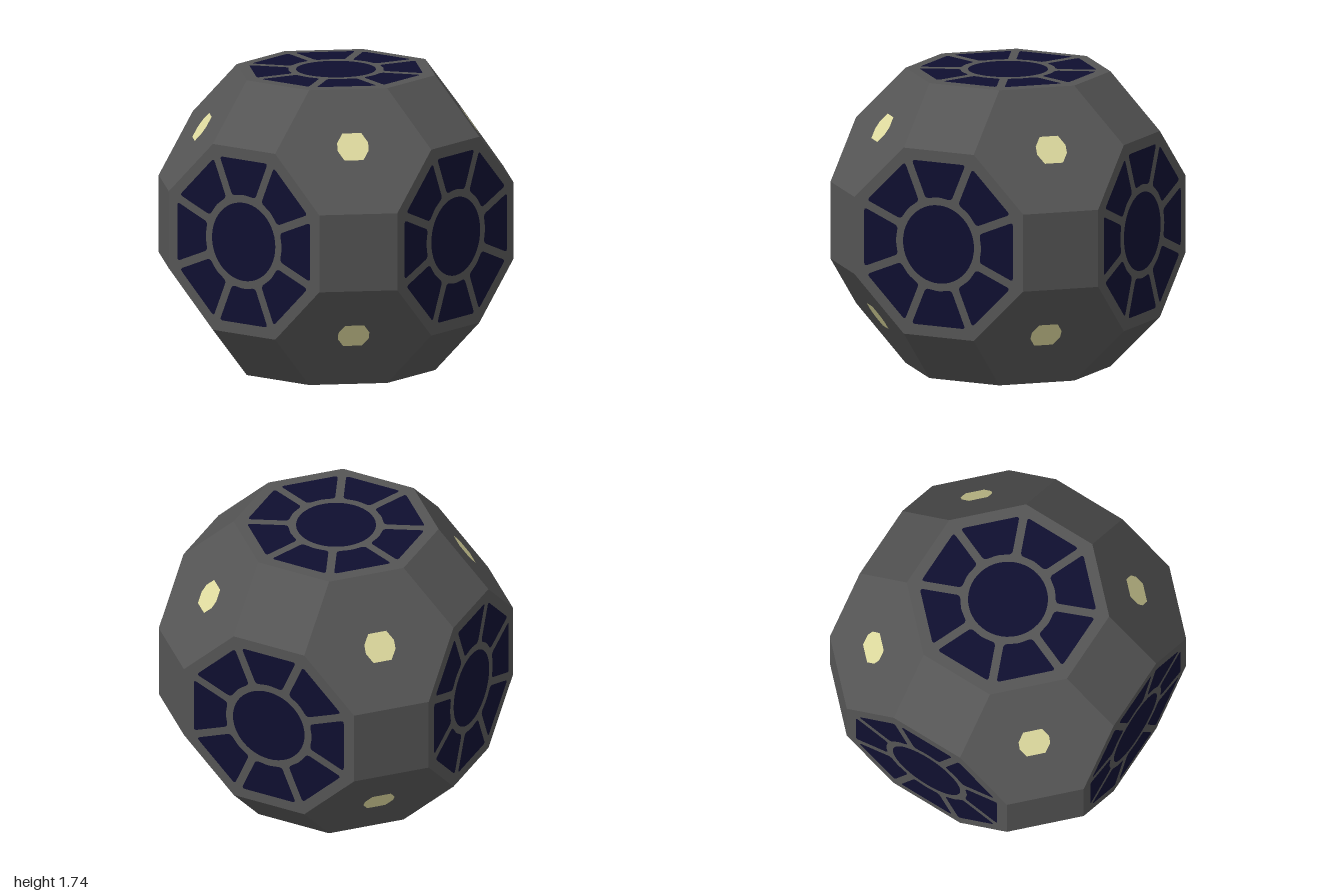
import * as THREE from 'three';
import { ConvexGeometry } from 'three/addons/geometries/ConvexGeometry.js';

const S = 1 / 4.4142;               // half edge length: makes the widest side 2 units
const R2 = Math.SQRT2;
const OCT_DIST = (1 + 2 * R2) * S;  // centre to octagon face
const HEX_DIST = (3 + 3 * R2) * S / Math.sqrt(3); // centre to hexagon face
const LIFT = 0.003;                 // plates sit just above the faces
const DEG = Math.PI / 180;

// All permutations and signs of (1, 1+√2, 1+2√2), turned 45° about y
function hullPoints() {
  const v = [1, 1 + R2, 1 + 2 * R2];
  const points = [];
  for (const [i, j, k] of [[0, 1, 2], [0, 2, 1], [1, 0, 2], [1, 2, 0], [2, 0, 1], [2, 1, 0]]) {
    for (let n = 0; n < 8; n++) {
      const p = new THREE.Vector3(v[i] * (n & 1 ? -1 : 1), v[j] * (n & 2 ? -1 : 1), v[k] * (n & 4 ? -1 : 1));
      points.push(p.multiplyScalar(S).applyAxisAngle(new THREE.Vector3(0, 1, 0), Math.PI / 4));
    }
  }
  return points;
}

// Closed outline with softened corners
function roundedShape(points, r) {
  const shape = new THREE.Shape();
  points.forEach((p, i) => {
    const prev = points[(i + points.length - 1) % points.length];
    const next = points[(i + 1) % points.length];
    const toward = (q) => p.clone().add(q.clone().sub(p).setLength(Math.min(r, p.distanceTo(q) * 0.45)));
    const a = toward(prev), b = toward(next);
    if (i === 0) shape.moveTo(a.x, a.y); else shape.lineTo(a.x, a.y);
    shape.quadraticCurveTo(p.x, p.y, b.x, b.y);
  });
  shape.closePath();
  return shape;
}

// One outer pane: straight outer edge, inner edge following the round pane
function paneGeometry() {
  const side = (y) => Math.tan(22.5 * DEG) * y - 0.026;
  const inner = 0.264, outer = 0.482;
  return new THREE.ShapeGeometry(roundedShape([
    new THREE.Vector2(side(outer), outer),
    new THREE.Vector2(-side(outer), outer),
    new THREE.Vector2(-side(inner), inner),
    new THREE.Vector2(0, 0.277),
    new THREE.Vector2(side(inner), inner),
  ], 0.022), 4);
}

// Group whose +z points out of a face
function faceGroup(name, yaw, elevation, distance) {
  const group = new THREE.Group();
  group.name = name;
  group.rotation.set(-elevation, yaw, 0, 'YXZ');
  group.position.set(0, 0, distance + LIFT).applyEuler(group.rotation);
  return group;
}

export function createModel() {
  const hullGrey = new THREE.MeshStandardMaterial({ name: 'hull grey', color: 0x555555 });
  const glassNavy = new THREE.MeshStandardMaterial({ name: 'glass navy', color: 0x0f0f30 });
  const lampYellow = new THREE.MeshStandardMaterial({ name: 'lamp yellow', color: 0xe0dca0 });

  const model = new THREE.Group();
  model.name = 'facetedPod';
  const body = new THREE.Group();
  body.name = 'body';
  body.position.y = OCT_DIST;
  model.add(body);

  const add = (parent, name, geometry, material) => {
    const mesh = new THREE.Mesh(geometry, material);
    mesh.name = name;
    parent.add(mesh);
    return mesh;
  };

  add(body, 'hull', new ConvexGeometry(hullPoints()), hullGrey);

  // Windows on the six octagons
  const pane = paneGeometry();
  const disc = new THREE.CircleGeometry(0.23, 48);
  const octagons = [[0, 90], [0, -90], [45, 0], [135, 0], [225, 0], [315, 0]];
  for (const [yaw, elevation] of octagons) {
    const window = faceGroup('window', yaw * DEG, elevation * DEG, OCT_DIST);
    add(window, 'roundPane', disc, glassNavy);
    for (let i = 0; i < 8; i++) add(window, 'outerPane', pane, glassNavy).rotation.z = i * 45 * DEG;
    body.add(window);
  }

  // Lamps on the eight hexagons, each slightly off centre
  const lamp = new THREE.ShapeGeometry(new THREE.Shape([
    [0.09, -0.025], [0.09, 0.025], [0.055, 0.085], [-0.055, 0.085],
    [-0.09, 0.025], [-0.09, -0.025], [-0.055, -0.085], [0.055, -0.085],
  ].map(([x, y]) => new THREE.Vector2(x, y))));
  const tilt = Math.asin(1 / Math.sqrt(3));
  const lamps = [ // yaw, up or down, offset across, offset along
    [0, 1, 0, 0.03], [90, 1, 0.015, 0], [180, 1, 0, -0.03], [270, 1, -0.015, 0],
    [0, -1, 0, 0.02], [90, -1, -0.02, 0.015], [180, -1, 0, 0], [270, -1, 0, 0],
  ];
  for (const [yaw, sign, u, v] of lamps) {
    const mount = faceGroup('lampMount', yaw * DEG, sign * tilt, HEX_DIST);
    add(mount, 'lamp', lamp, lampYellow).position.set(u, v, 0);
    body.add(mount);
  }
  return model;
}
